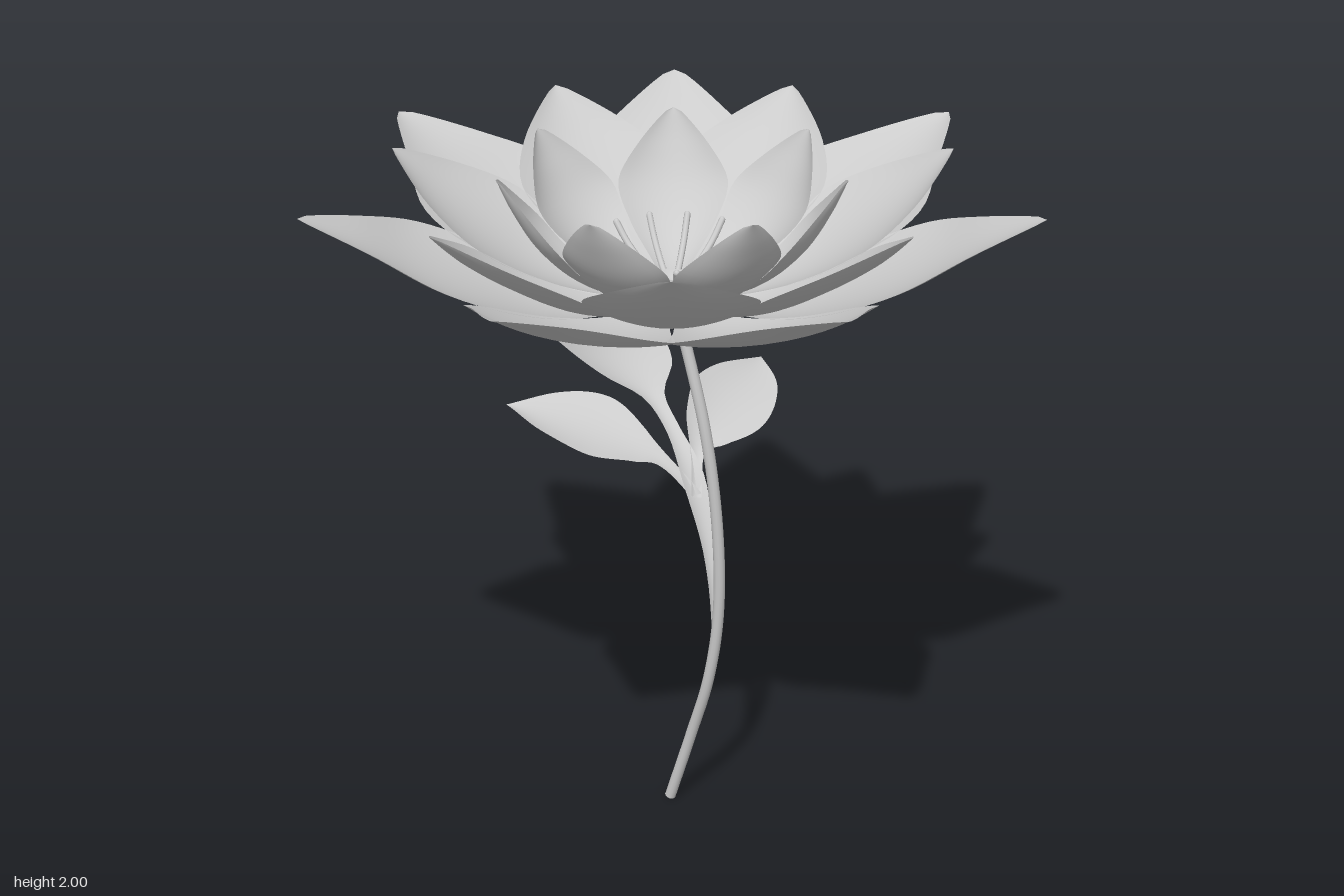
import * as THREE from 'three';

const material = new THREE.MeshStandardMaterial({ color: 0xcccccc, roughness: 0.8 });
const thin = new THREE.MeshStandardMaterial({ color: 0xcccccc, roughness: 0.8, side: THREE.DoubleSide });
const spline = (rows) => new THREE.CatmullRomCurve3(rows.map((p) => new THREE.Vector3(...p)));

function add(parent, name, geometry, mat = material) {
  const mesh = new THREE.Mesh(geometry, mat);
  mesh.name = name;
  parent.add(mesh);
  return mesh;
}

// Smooth sheet: place(t, v) gives a point, t runs 0..1 along and v -1..1 across
function sheet(place, along = 28, across = 12) {
  const geometry = new THREE.PlaneGeometry(2, 1, across, along);
  const pos = geometry.attributes.position;
  for (let i = 0; i < pos.count; i++) {
    const p = place(Math.min(1, Math.max(0, pos.getY(i) + 0.5)), pos.getX(i));
    pos.setXYZ(i, p.x, p.y, p.z);
  }
  geometry.computeVertexNormals();
  return geometry;
}

// Cupped petal from rows of [half width, height, distance from the centre]
function petalGeometry(rows, cup) {
  const curve = spline(rows);
  return sheet((t, v) => {
    const p = curve.getPointAt(t);
    const d = curve.getTangentAt(t);
    const n = new THREE.Vector2(-d.y, d.z).normalize(); // inward and upward
    const w = Math.max(0, p.x);
    const lift = cup * v * v * w;
    return new THREE.Vector3(v * w, p.y + n.y * lift, p.z + n.x * lift);
  });
}

// Leaf laid out flat as rows of [x, distance along the spine, half width], then bent over the spine
function leafGeometry(rows, spine) {
  const outline = spline(rows);
  const length = spine.getLength();
  return sheet((t, v) => {
    const p = outline.getPointAt(t);
    const d = outline.getTangentAt(t);
    const side = new THREE.Vector2(d.y, -d.x).normalize();
    const w = Math.max(0, p.z);
    const s = Math.min(1, Math.max(0, (p.y + side.y * v * w) / length));
    const c = spine.getPointAt(s);
    const k = spine.getTangentAt(s);
    const x = p.x + side.x * v * w;
    const lift = 0.25 * w * v * v;
    const droop = 0.12 * Math.max(0, x - 0.105) ** 2;
    return new THREE.Vector3(x, c.y - k.z * lift - droop, c.z + k.y * lift);
  }, 40, 10);
}

export function createModel() {
  const model = new THREE.Group();
  model.name = 'flower';

  // Blossom: three rings of seven petals
  const blossom = new THREE.Group();
  blossom.name = 'blossom';
  blossom.position.set(-0.015, 0, -0.034);
  model.add(blossom);
  const rings = [
    { name: 'outerPetal', turn: -2.7, cup: 0.17, rows: [
      [0.02, 1.618, 0.035], [0.1, 1.618, 0.22], [0.185, 1.645, 0.37], [0.268, 1.71, 0.55],
      [0.26, 1.768, 0.68], [0.145, 1.855, 0.83], [0.018, 1.932, 0.98], [0, 1.936, 0.988]] },
    { name: 'middlePetal', turn: 23, cup: 0.22, rows: [
      [0.02, 1.628, 0.04], [0.09, 1.64, 0.2], [0.175, 1.695, 0.37], [0.226, 1.775, 0.51],
      [0.155, 1.875, 0.65], [0.014, 1.983, 0.765], [0, 1.988, 0.77]] },
    { name: 'innerPetal', turn: -2.7, cup: 0.3, rows: [
      [0.015, 1.64, 0.04], [0.06, 1.66, 0.17], [0.117, 1.72, 0.28], [0.15, 1.81, 0.37],
      [0.09, 1.915, 0.432], [0.012, 1.997, 0.468], [0, 2, 0.47]] },
  ];
  for (const { name, turn, cup, rows } of rings) {
    const geometry = petalGeometry(rows, cup);
    for (let i = 0; i < 7; i++) {
      add(blossom, name, geometry, thin).rotation.y = THREE.MathUtils.degToRad(turn + i * 360 / 7);
    }
  }

  // Hollow-topped pistil with a ring of stamens
  add(blossom, 'pistil', new THREE.LatheGeometry(
    [[0, 1.635], [0.025, 1.638], [0.035, 1.655], [0.047, 1.685], [0.04, 1.695], [0.02, 1.68], [0, 1.675]]
      .map(([x, y]) => new THREE.Vector2(x, y)), 24));
  const stamen = new THREE.TubeGeometry(
    spline([[0, 1.655, 0.035], [0, 1.685, 0.1], [0, 1.735, 0.17], [0, 1.785, 0.215]]), 10, 0.009, 8);
  const tip = new THREE.SphereGeometry(0.009, 8, 6);
  for (let i = 0; i < 13; i++) {
    const filament = add(blossom, 'stamen', stamen);
    filament.rotation.y = THREE.MathUtils.degToRad(2.6) + (i * Math.PI * 2) / 13;
    add(filament, 'stamenTip', tip).position.set(0, 1.785, 0.215);
  }

  // Curved stem with closed ends
  const stemCurve = spline([[0.029, 0.005, -0.134], [0.062, 0.25, -0.062], [0.08, 0.45, 0.002],
    [0.09, 0.67, 0.039], [0.078, 0.94, 0.055], [0.045, 1.25, 0.042], [-0.01, 1.61, -0.022]]);
  add(model, 'stem', new THREE.TubeGeometry(stemCurve, 48, 0.016, 12));
  for (const t of [0, 1]) {
    const cap = add(model, 'stemEnd', new THREE.CircleGeometry(0.016, 12), thin);
    cap.position.copy(stemCurve.getPointAt(t));
    cap.lookAt(cap.position.clone().addScaledVector(stemCurve.getTangentAt(t), t ? 1 : -1));
  }

  // Three-part leaf arching backward
  const spine = spline([[0, 0.6, 0.025], [0, 0.74, -0.005], [0, 0.88, -0.06], [0, 1.005, -0.135],
    [0, 1.075, -0.2], [0, 1.14, -0.3], [0, 1.195, -0.45], [0, 1.217, -0.62],
    [0, 1.197, -0.79], [0, 1.15, -0.96]]);
  const leaves = {
    middleLeaf: [[0.09, 0, 0.012], [0.1, 0.25, 0.018], [0.105, 0.45, 0.035], [0.105, 0.62, 0.022],
      [0.105, 0.74, 0.035], [0.105, 0.84, 0.11], [0.105, 0.97, 0.142], [0.105, 1.13, 0.117],
      [0.105, 1.26, 0.055], [0.105, 1.35, 0]],
    leftLeaf: [[0.1, 0.4, 0.015], [0.15, 0.53, 0.024], [0.2, 0.58, 0.07], [0.3, 0.65, 0.115],
      [0.41, 0.735, 0.09], [0.51, 0.835, 0]],
    rightLeaf: [[0.105, 0.4, 0.015], [0.03, 0.53, 0.024], [-0.02, 0.58, 0.06], [-0.11, 0.665, 0.115],
      [-0.22, 0.755, 0.085], [-0.31, 0.84, 0]],
  };
  for (const [name, rows] of Object.entries(leaves)) add(model, name, leafGeometry(rows, spine), thin);

  return model;
}
